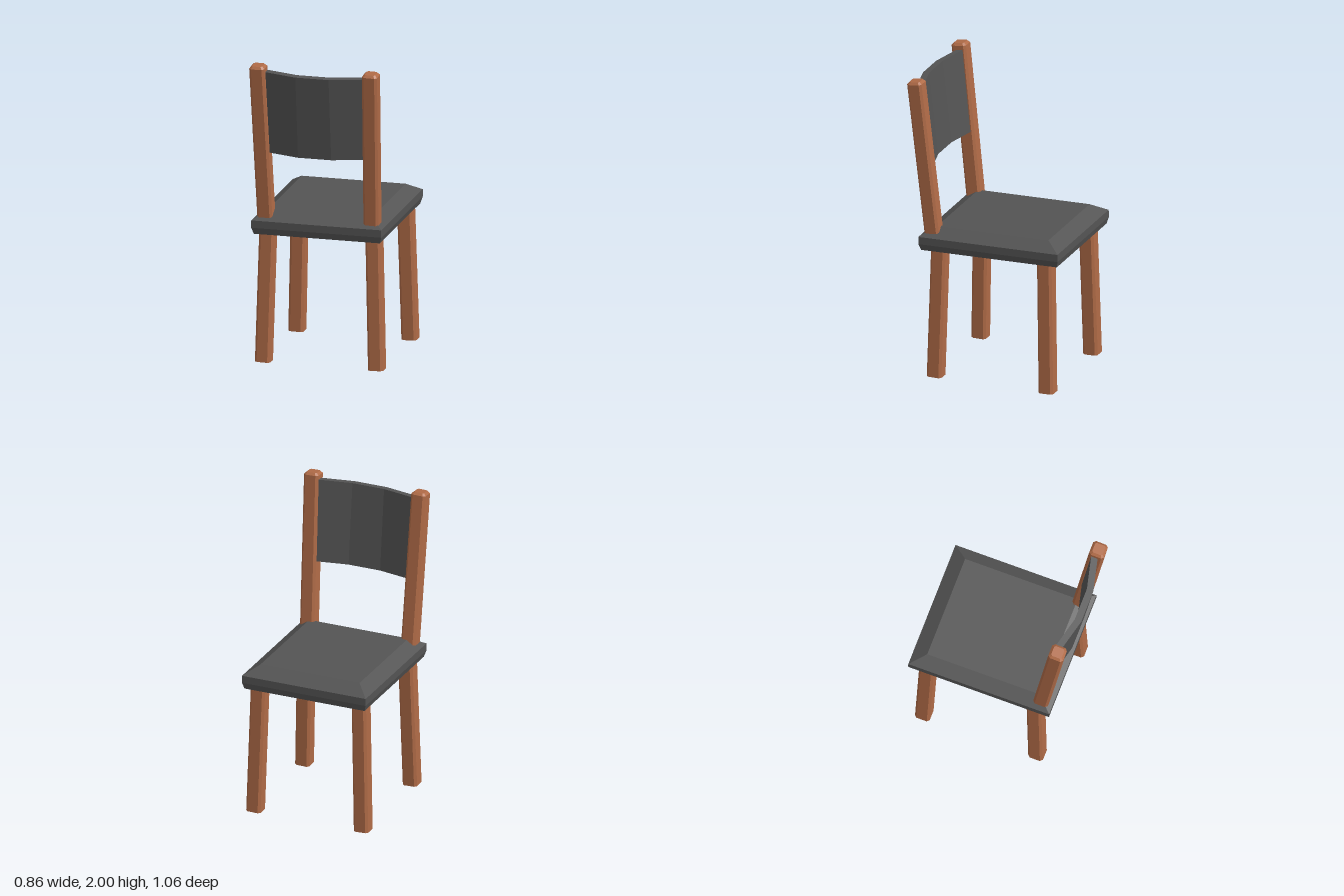
import * as THREE from 'three';

const wood = new THREE.MeshStandardMaterial({ color: 0xb06b47 });
wood.name = 'warm wood';
const upholstery = new THREE.MeshStandardMaterial({ color: 0x545454 });
upholstery.name = 'charcoal upholstery';

// Corner points of a rectangle, optionally with cut corners, counter-clockwise from above
function ring([y, hx, hz, c]) {
  const pts = c
    ? [[hx, hz - c], [hx, c - hz], [hx - c, -hz], [c - hx, -hz],
       [-hx, c - hz], [-hx, hz - c], [c - hx, hz], [hx - c, hz]]
    : [[hx, hz], [hx, -hz], [-hx, -hz], [-hx, hz]];
  return pts.map(([x, z]) => [x, y, z]);
}

// Closed faceted solid through sections [y, halfX, halfZ, cornerCut]
function loft(sections) {
  const rings = sections.map(ring);
  const n = rings[0].length;
  const pos = [];
  const tri = (a, b, c) => pos.push(...a, ...b, ...c);
  for (let r = 0; r < rings.length - 1; r++) {
    for (let i = 0; i < n; i++) {
      const j = (i + 1) % n;
      const [a, b] = [rings[r], rings[r + 1]];
      tri(a[i], a[j], b[j]);
      tri(a[i], b[j], b[i]);
    }
  }
  const bottom = rings[0], top = rings[rings.length - 1];
  for (let i = 1; i < n - 1; i++) {
    tri(top[0], top[i], top[i + 1]);
    tri(bottom[0], bottom[i + 1], bottom[i]);
  }
  const geo = new THREE.BufferGeometry();
  geo.setAttribute('position', new THREE.Float32BufferAttribute(pos, 3));
  geo.computeVertexNormals();
  return geo;
}

// Square wooden bar with softened edges, running from one point to another
function bar(name, from, to, bevel) {
  const a = new THREE.Vector3(...from), b = new THREE.Vector3(...to);
  const dir = b.clone().sub(a);
  const len = dir.length(), h = 0.05, c = 0.015;
  const sections = [[0, h, h, c], [len - bevel, h, h, c]];
  if (bevel) sections.push([len, h - bevel, h - bevel, c * 0.6]);
  const mesh = new THREE.Mesh(loft(sections), wood);
  mesh.position.copy(a);
  mesh.quaternion.setFromUnitVectors(new THREE.Vector3(0, 1, 0), dir.normalize());
  mesh.name = name;
  return mesh;
}

export function createModel() {
  const chair = new THREE.Group();
  chair.name = 'chair';

  // Padded seat, tipped slightly upward away from the backrest
  const seat = new THREE.Mesh(loft([
    [-0.047, 0.418, 0.467],
    [-0.005, 0.431, 0.479],
    [0.044, 0.431, 0.479],
    [0.101, 0.345, 0.383],
  ]), upholstery);
  seat.position.set(0, 0.917, -0.05);
  seat.rotation.x = 0.018;
  seat.name = 'seat';
  chair.add(seat);

  // Splayed legs and leaning back posts, mirrored
  for (const [side, s] of [['left', 1], ['right', -1]]) {
    chair.add(
      bar(side + 'LegNearBackrest', [s * 0.375, 0.003, 0.33], [s * 0.351, 0.9, 0.309], 0),
      bar(side + 'LegAtOpenEdge', [s * 0.375, 0.003, -0.44], [s * 0.351, 0.9, -0.419], 0),
      bar(side + 'BackPost', [s * 0.352, 0.975, 0.355], [s * 0.374, 1.996, 0.468], 0.015),
    );
  }

  // Backrest panel: bowed outline extruded upward, leaning with the posts
  const bow = [[-0.36, -0.06], [-0.11, 0], [0.11, 0], [0.36, -0.06]];
  const half = 0.022, height = 0.55;
  const outline = new THREE.Shape([
    ...bow.map(([x, z]) => new THREE.Vector2(x, z - half)),
    ...bow.slice().reverse().map(([x, z]) => new THREE.Vector2(x, z + half)),
  ]);
  const panelGeo = new THREE.ExtrudeGeometry(outline, { depth: height, bevelEnabled: false });
  panelGeo.rotateX(Math.PI / 2).translate(0, height / 2, 0);
  const panel = new THREE.Mesh(panelGeo, upholstery);
  panel.position.set(0, 1.677, 0.476);
  panel.rotation.x = 0.113;
  panel.name = 'backrest';
  chair.add(panel);

  return chair;
}
